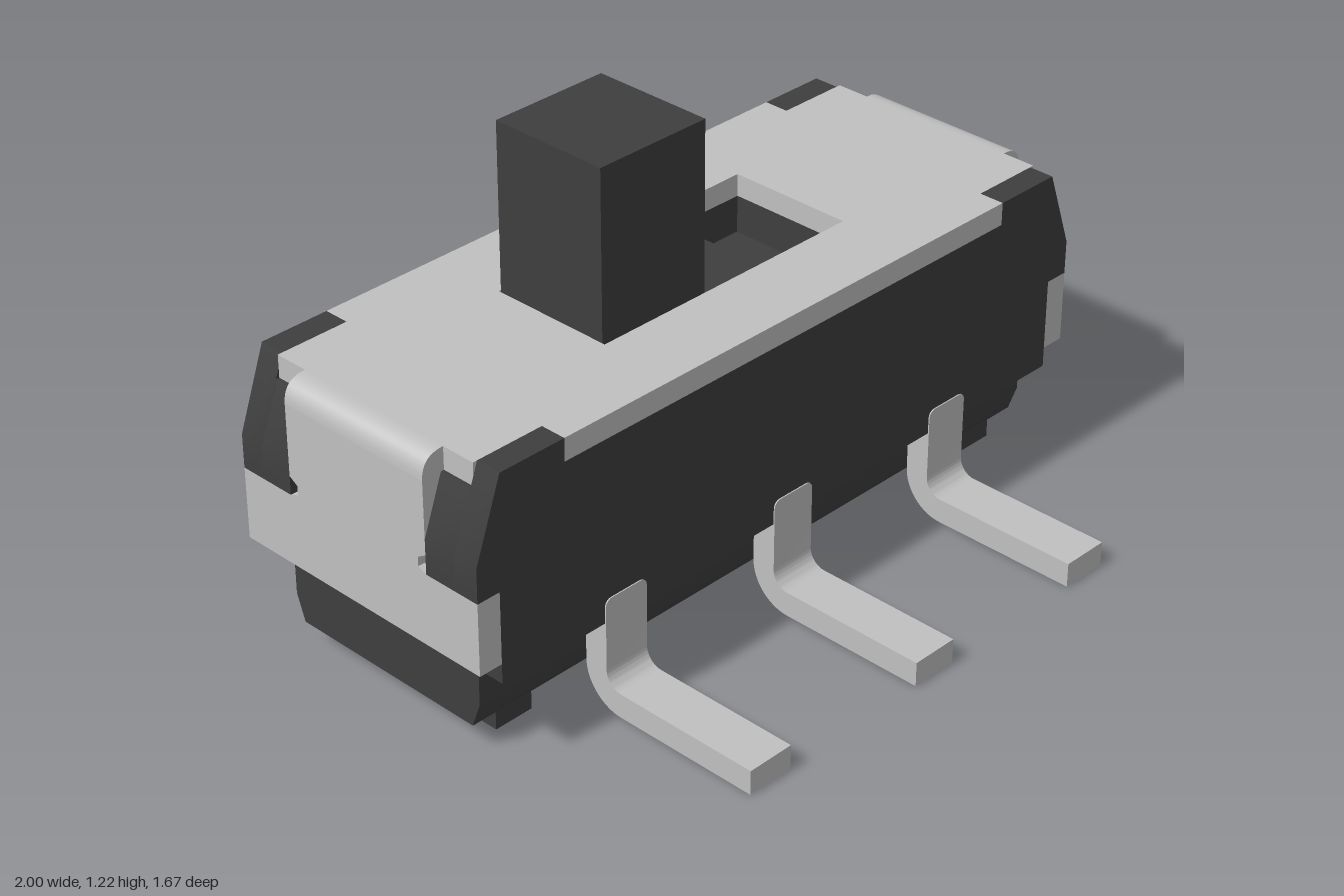
import * as THREE from 'three';
import { toCreasedNormals } from 'three/addons/utils/BufferGeometryUtils.js';

const plastic = new THREE.MeshStandardMaterial({ color: 0x3e3e3e });
plastic.name = 'dark plastic';
const metal = new THREE.MeshStandardMaterial({ color: 0xc0c0c0 });
metal.name = 'bare metal';

const poly = pts => new THREE.Shape(pts.map(p => new THREE.Vector2(p[0], p[1])));

// Extrusion centred on its own depth
function slab(shape, depth) {
  const g = new THREE.ExtrudeGeometry(shape, { depth, bevelEnabled: false, curveSegments: 8 });
  g.translate(0, 0, -depth / 2);
  return toCreasedNormals(g, 0.5);
}
const alongX = (shape, depth) => slab(shape, depth).rotateY(-Math.PI / 2); // shape drawn in (z, y)
const alongY = (shape, depth) => slab(shape, depth).rotateX(-Math.PI / 2); // shape drawn in (x, -z)

export function createModel() {
  const model = new THREE.Group();
  model.name = 'slideSwitch';

  function add(name, geometry, material, x = 0, y = 0, z = 0) {
    const mesh = new THREE.Mesh(geometry, material);
    mesh.name = name;
    mesh.position.set(x, y, z);
    model.add(mesh);
    return mesh;
  }
  const box = (name, mat, x0, x1, y0, y1, z0, z1) =>
    add(name, new THREE.BoxGeometry(x1 - x0, y1 - y0, z1 - z0), mat,
      (x0 + x1) / 2, (y0 + y1) / 2, (z0 + z1) / 2);

  const slot = () => new THREE.Path([[-0.4, -0.172], [-0.4, 0.172], [0.4, 0.172], [0.4, -0.172]]
    .map(p => new THREE.Vector2(p[0], p[1])));

  // Housing: stepped lower section, and an upper rim around the slot pocket
  const half = [[0.285, 0.07], [0.31, 0.14], [0.31, 0.237], [0.387, 0.237], [0.387, 0.62]];
  const section = [...half, ...half.map(p => [-p[0], p[1]]).reverse()];
  add('housing', alongX(poly(section), 1.87), plastic);
  const rim = poly([[-0.935, -0.387], [0.935, -0.387], [0.935, 0.387], [-0.935, 0.387]]);
  rim.holes.push(slot());
  add('housingRim', alongY(rim, 0.1), plastic, 0, 0.67, 0);

  // Slider: stepped carriage in the slot with a tall knob
  box('sliderKnob', plastic, -0.4, -0.07, 0.6, 1.222, -0.165, 0.165);
  box('sliderCarriage', plastic, -0.07, 0.02, 0.6, 0.7, -0.168, 0.168);
  box('sliderStep', plastic, 0.02, 0.25, 0.6, 0.67, -0.168, 0.168);

  // Metal cover, narrowed at its ends to clear the housing corners
  const quarter = [[0.735, -0.387], [0.735, -0.318], [0.937, -0.318]];
  const right = [...quarter, ...quarter.map(p => [p[0], -p[1]]).reverse()];
  const cover = poly([...right, ...right.map(p => [-p[0], -p[1]])]);
  cover.holes.push(slot());
  add('coverTop', alongY(cover, 0.06), metal, 0, 0.75, 0);

  // Cover ends: notched T-shaped plate and a rounded bend
  const tHalf = [[0.387, 0.29], [0.387, 0.48], [0.225, 0.48], [0.2, 0.49], [0.2, 0.515],
    [0.225, 0.53], [0.225, 0.72]];
  const tPlate = poly([...tHalf, ...tHalf.map(p => [-p[0], p[1]]).reverse()]);

  for (const s of [-1, 1]) {
    add('coverEnd', alongX(tPlate, 0.065), metal, s * 0.9675, 0, 0);

    const bend = new THREE.Shape();
    bend.moveTo(s * 0.935, 0.72);
    bend.lineTo(s, 0.72);
    bend.quadraticCurveTo(s, 0.78, s * 0.94, 0.78);
    bend.lineTo(s * 0.935, 0.78);
    bend.closePath();
    add('coverBend', slab(bend, 0.45), metal);

    for (const t of [-1, 1]) {
      // Housing corner ears with sloped outer edges
      const ear = poly([[0.735, 0.6], [0.9, 0.6], [0.9, 0.48], [1, 0.48], [1, 0.57],
        [0.925, 0.78], [0.735, 0.78]].map(p => [s * p[0], p[1]]));
      add('cornerEar', slab(ear, 0.069), plastic, 0, 0, t * 0.3525);
      const inner = poly([[0.93, 0.48], [1, 0.48], [1, 0.57], [0.946, 0.72], [0.93, 0.72]]
        .map(p => [s * p[0], p[1]]));
      add('cornerInner', slab(inner, 0.093), plastic, 0, 0, t * 0.2715);

      // Locating pegs underneath
      add('peg', new THREE.BoxGeometry(0.11, 0.065, 0.113), plastic, s * 0.805, 0.0475, t * 0.222);
    }
  }

  // Bent terminals: rounded tab against the housing, then a foot turned outward
  const leg = new THREE.Shape();
  leg.moveTo(0.835, 0);
  leg.lineTo(0.835, 0.065);
  leg.lineTo(0.435, 0.065);
  leg.absarc(0.435, 0.11, 0.045, -Math.PI / 2, -Math.PI, true);
  leg.lineTo(0.39, 0.24);
  leg.lineTo(0.325, 0.24);
  leg.lineTo(0.325, 0.11);
  leg.absarc(0.435, 0.11, 0.11, Math.PI, Math.PI * 1.5, false);
  leg.closePath();
  const legGeometry = alongX(leg, 0.13);

  const tab = new THREE.Shape();
  tab.moveTo(-0.065, 0.24);
  tab.lineTo(0.065, 0.24);
  tab.lineTo(0.065, 0.28);
  tab.absarc(0.045, 0.28, 0.02, 0, Math.PI / 2, false);
  tab.absarc(-0.045, 0.28, 0.02, Math.PI / 2, Math.PI, false);
  tab.closePath();
  const tabGeometry = slab(tab, 0.065).translate(0, 0, 0.3575);

  for (const x of [-0.555, 0, 0.555]) {
    for (const turn of [0, Math.PI]) {
      add('terminal', legGeometry, metal, x).rotation.y = turn;
      add('terminalTab', tabGeometry, metal, x).rotation.y = turn;
    }
  }
  return model;
}
